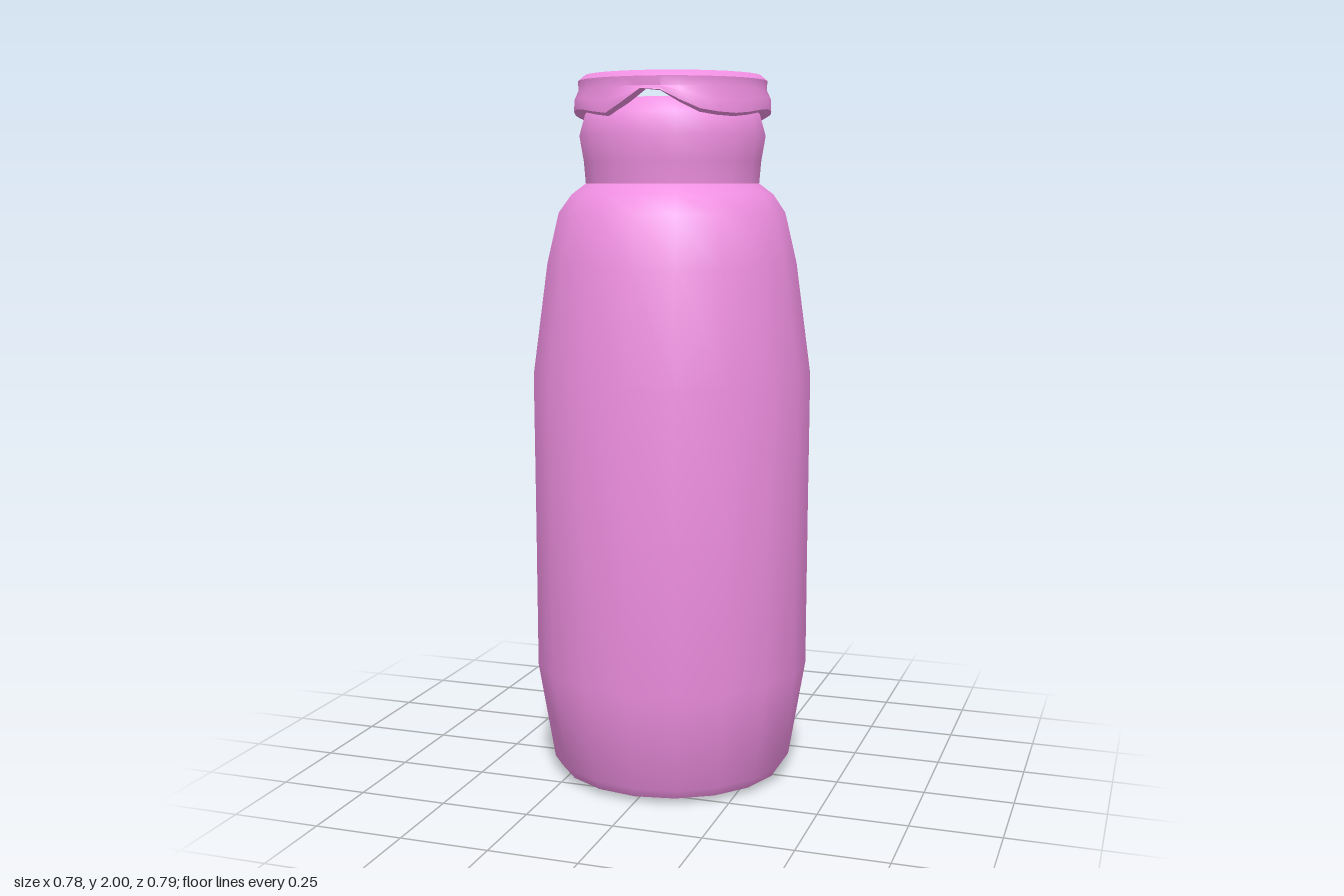
import * as THREE from 'three';
import { toCreasedNormals } from 'three/addons/utils/BufferGeometryUtils.js';

const material = new THREE.MeshStandardMaterial({ color: 0xee8ee0 });

// Turned part from [radius, height] pairs; bend(v, angle) may shift each vertex.
function turned(name, profile, sides, bend) {
  const geometry = new THREE.LatheGeometry(profile.map(([r, y]) => new THREE.Vector2(r, y)), sides);
  const pos = geometry.attributes.position;
  const v = new THREE.Vector3();
  for (let i = 0; i < pos.count; i++) {
    v.fromBufferAttribute(pos, i);
    bend(v, Math.atan2(v.x, v.z));
    pos.setXYZ(i, v.x, v.y, v.z);
  }
  const mesh = new THREE.Mesh(toCreasedNormals(geometry, 0.75), material);
  mesh.name = name;
  return mesh;
}

export function createModel() {
  const model = new THREE.Group();
  model.name = 'bottle';

  // Body: chamfered foot, straight wall, tapered shoulder, pinched neck
  model.add(turned('body', [
    [0, 0.003], [0.2, 0.008], [0.325, 0.02], [0.345, 0.05], [0.392, 0.33], [0.393, 0.75],
    [0.395, 1.17], [0.353, 1.48], [0.32, 1.62], [0.285, 1.67], [0.245, 1.7],
    [0.25, 1.76], [0.262, 1.83], [0.245, 1.89], [0.2, 1.93],
  ], 18, (v) => {
    // the neck leans slightly towards the back
    if (v.y > 1.65) v.z -= 0.005;
  }));

  // Cap: thin lid with an overhanging skirt, lifted in a small notch at the front
  model.add(turned('cap', [
    [0.225, 1.9], [0.262, 1.885], [0.275, 1.893], [0.274, 1.925], [0.262, 1.955],
    [0.264, 1.98], [0.245, 1.996], [0.15, 2], [0, 2],
  ], 32, (v, angle) => {
    if (v.y < 1.94) {
      const notch = Math.max(0, 1 - Math.abs(angle - 0.06) / 0.45);
      v.y += notch * (1.95 - v.y) * 1.1;
      v.y += 0.008 * Math.sin(angle * 5);
    }
    v.z -= 0.01;
  }));

  return model;
}
